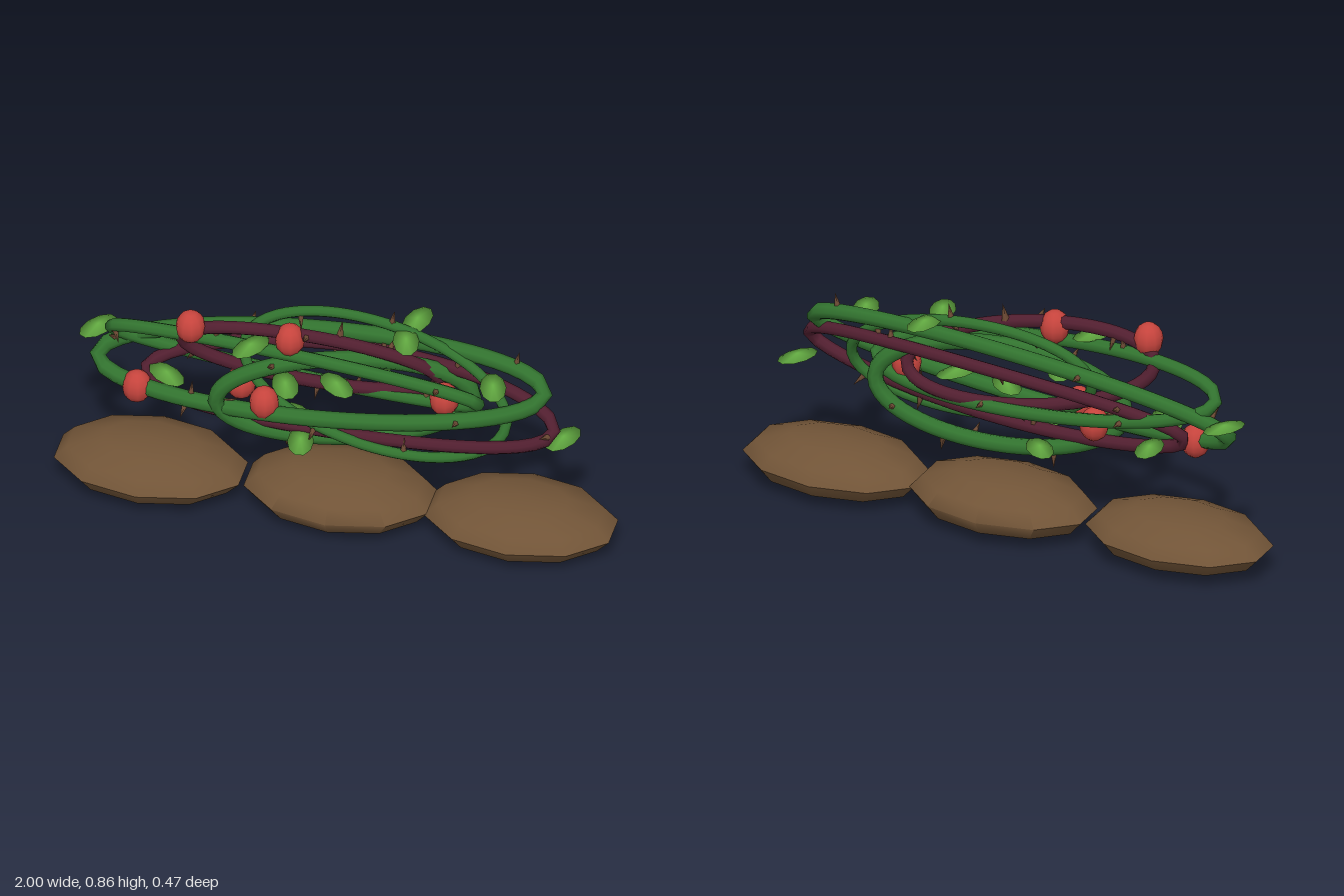
import * as THREE from 'three';
import { toCreasedNormals } from 'three/addons/utils/BufferGeometryUtils.js';

const mat = (name, color) => {
  const m = new THREE.MeshStandardMaterial({ color });
  m.name = name;
  return m;
};

// Closed ellipse that slopes along x and weaves back and forth in z
class VineLoop extends THREE.Curve {
  constructor(shape) {
    super();
    this.shape = shape;
  }
  getPoint(u, target = new THREE.Vector3()) {
    const { cx, cy, rx, ry, slope, depth, phase, sway } = this.shape;
    const a = u * Math.PI * 2;
    return target.set(
      cx + rx * Math.cos(a),
      cy + ry * Math.sin(a) + slope * Math.cos(a),
      0.005 + depth * Math.cos(a - THREE.MathUtils.degToRad(phase)) + sway * Math.cos(2 * a));
  }
}

export function createModel() {
  const root = new THREE.Group();
  const soil = mat('soil brown', 0x715437);
  const green = mat('vine green', 0x32732f);
  const purple = mat('vine purple', 0x521f30);
  const leafGreen = mat('leaf green', 0x66b044);
  const red = mat('berry red', 0xc6443d);
  const thornBrown = mat('thorn brown', 0x6d4a34);

  const add = (name, geometry, material, x = 0, y = 0, z = 0) => {
    const mesh = new THREE.Mesh(geometry, material);
    mesh.name = name;
    mesh.position.set(x, y, z);
    root.add(mesh);
    return mesh;
  };

  // Three flattened mounds in a row, with a crisp rim around the middle
  [[-0.667, 0.112, 0.01, 0.098], [0.015, 0.109, 0.003, 0.104], [0.667, 0.104, 0.008, 0.1]].forEach(([x, y, z, h]) => {
    const geo = new THREE.SphereGeometry(1, 10, 6).rotateY(Math.PI / 2).scale(0.35, h, 0.223);
    add('mound', toCreasedNormals(geo, Math.PI / 3), soil, x, y, z);
  });

  // Thorns point along a direction from a base point
  const up = new THREE.Vector3(0, 1, 0);
  const thornGeo = new THREE.ConeGeometry(0.014, 0.06, 5);
  const addThorn = (base, dir, scale) => {
    const d = dir.clone().normalize();
    const p = base.clone().addScaledVector(d, 0.03 * scale);
    const thorn = add('thorn', thornGeo, thornBrown, p.x, p.y, p.z);
    thorn.quaternion.setFromUnitVectors(up, d);
    thorn.scale.setScalar(scale);
  };

  // Interwoven vine loops
  const vines = [
    { cx: -0.055, cy: 0.6, rx: 0.805, ry: 0.13, slope: 0.06, depth: 0.09, phase: -90, sway: 0, radius: 0.03, color: green },
    { cx: -0.15, cy: 0.62, rx: 0.66, ry: 0.11, slope: -0.05, depth: 0.085, phase: 90, sway: 0, radius: 0.025, color: green },
    { cx: 0.03, cy: 0.51, rx: 0.44, ry: 0.185, slope: 0.02, depth: 0.095, phase: 168, sway: 0, radius: 0.03, color: green },
    { cx: 0.14, cy: 0.59, rx: 0.48, ry: 0.215, slope: -0.06, depth: 0.085, phase: -70, sway: 0, radius: 0.02, color: green },
    { cx: -0.09, cy: 0.66, rx: 0.45, ry: 0.14, slope: -0.06, depth: 0.085, phase: 140, sway: 0, radius: 0.024, color: purple },
    { cx: 0.055, cy: 0.525, rx: 0.745, ry: 0.135, slope: 0.03, depth: 0.085, phase: -68, sway: 0.03, radius: 0.024, color: purple },
  ];
  vines.forEach((shape, v) => {
    const curve = new VineLoop(shape);
    add('vine', new THREE.TubeGeometry(curve, 64, shape.radius, 8, true), shape.color);
    // Thorns spiral around each vine
    for (let i = 0; i < 7; i++) {
      const t = ((i + 0.3 + 0.13 * v) / 7) % 1;
      const a = i * 2.4 + v * 1.3;
      const depthAxis = new THREE.Vector3(0, 0, 1);
      const dir = new THREE.Vector3().crossVectors(curve.getTangentAt(t), depthAxis).normalize()
        .multiplyScalar(Math.cos(a)).addScaledVector(depthAxis, Math.sin(a) * 0.8).normalize();
      addThorn(curve.getPointAt(t).addScaledVector(dir, shape.radius * 0.8), dir, 0.85);
    }
  });
  // Two longer thorns at the bottom and top of the tangle
  addThorn(new THREE.Vector3(0.22, 0.35, -0.05), new THREE.Vector3(0.15, -1, 0), 1.35);
  addThorn(new THREE.Vector3(0.02, 0.795, 0.03), new THREE.Vector3(0.1, 1, -0.15), 1.1);

  // Berries
  const berryGeo = new THREE.SphereGeometry(1, 10, 8);
  [[-0.5, 0.8, 0.105], [-0.15, 0.785, 0.075], [-0.705, 0.468, 0.06], [-0.24, 0.5, 0.085],
    [-0.35, 0.49, -0.02], [0.385, 0.56, -0.01]].forEach(([x, y, z]) => {
    add('berry', berryGeo, red, x, y, z).scale.set(0.053, 0.063, 0.053);
  });

  // Thin horizontal leaves, sharp at the rim: position, turn about the vertical
  const leafGeo = new THREE.SphereGeometry(1, 10, 2);
  [[-0.875, 0.61, -0.06, -0.5], [-0.63, 0.518, -0.155, 0.1], [-0.1, 0.38, 0.12, 0.2], [-0.28, 0.762, 0.12, -0.5],
    [-0.16, 0.6, 0.1, 0.4], [0.26, 0.797, -0.125, -0.2], [0.25, 0.795, 0, 0.3], [0.15, 0.615, -0.09, -0.5],
    [0.58, 0.7, 0.065, 0.3], [0.82, 0.48, 0.01, -0.4], [0, 0.555, 0, 0.8], [-0.6, 0.53, 0.05, 0.9],
    [-0.15, 0.36, -0.045, 0.7]].forEach(([x, y, z, yaw]) => {
    const leaf = add('leaf', leafGeo, leafGreen, x, y, z);
    leaf.scale.set(0.047, 0.012, 0.085);
    leaf.rotation.y = yaw;
  });

  return root;
}
